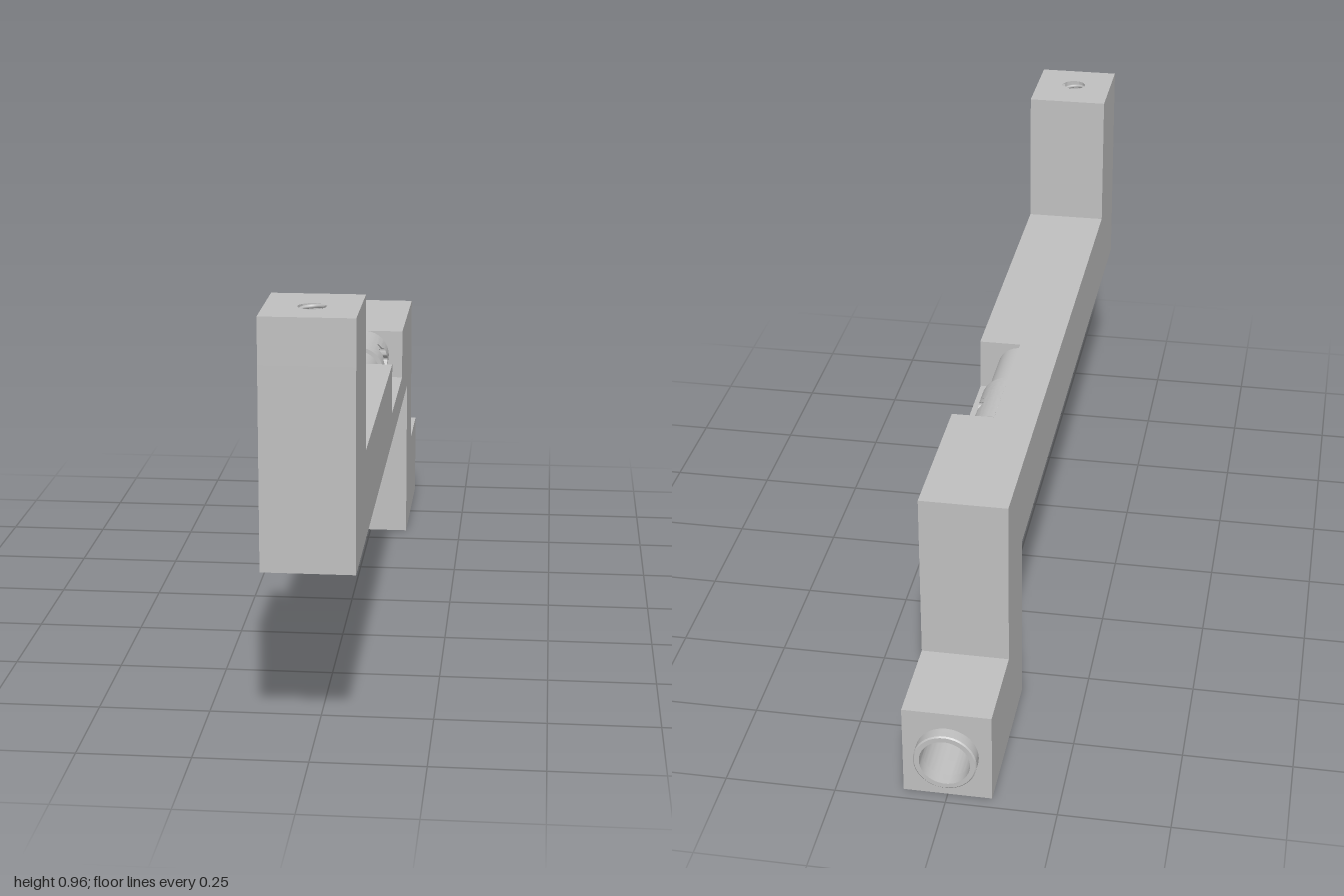
import * as THREE from 'three';
import { toCreasedNormals } from 'three/addons/utils/BufferGeometryUtils.js';

const metal = new THREE.MeshStandardMaterial({ color: 0xc0c0c0 });
metal.name = 'plain grey metal';

function add(group, name, geometry, x = 0, y = 0, z = 0) {
  const mesh = new THREE.Mesh(geometry, metal);
  mesh.name = name;
  mesh.position.set(x, y, z);
  group.add(mesh);
  return mesh;
}

// Side profile given as [z, y], extruded along +x
function sideExtrude(points, depth) {
  const shape = new THREE.Shape(points.map(([z, y]) => new THREE.Vector2(-z, y)));
  return new THREE.ExtrudeGeometry(shape, { depth, bevelEnabled: false }).rotateY(Math.PI / 2);
}

// Rectangular block with a round bore, extruded along +z
function boredBlock(w, h, cx, cy, r, depth) {
  const shape = new THREE.Shape([[-w, -h], [w, -h], [w, h], [-w, h]]
    .map(([x, y]) => new THREE.Vector2(x / 2, y / 2)));
  const hole = new THREE.Path();
  hole.absarc(cx, cy, r, 0, Math.PI * 2, true);
  shape.holes.push(hole);
  const geometry = new THREE.ExtrudeGeometry(shape, { depth, bevelEnabled: false, curveSegments: 40 });
  return toCreasedNormals(geometry, 0.6);
}

// Half-round sleeve skin with a fluted socket that opens towards +x
function socketSkin(R, halfLength, floorX) {
  const N = 108, rings = 14, pos = [], index = [];
  for (let k = 0; k < rings; k++) {
    for (let j = 0; j <= N; j++) {
      const t = (j / N) * Math.PI * 2, c = Math.cos(t), s = Math.sin(t);
      const r = 0.045 + 0.005 * Math.cos(9 * t);
      if (k === 0) pos.push(floorX, 0, 0);
      else if (k === 1) pos.push(floorX, r * s, -r * c);
      else {
        // blend from the socket lip to the edge of the sleeve
        const f = (k - 2) / (rings - 3), m = Math.max(Math.abs(c), Math.abs(s));
        const u = THREE.MathUtils.lerp(r * c, halfLength * c / m, f);
        const a = THREE.MathUtils.lerp(Math.asin(r * s / R), Math.PI / 2 * s / m, f);
        pos.push(R * Math.cos(a), R * Math.sin(a), -u);
      }
    }
  }
  for (let k = 0; k < rings - 1; k++) {
    for (let j = 0; j < N; j++) {
      const a = k * (N + 1) + j, b = a + N + 1;
      if (k > 0) index.push(a, b, a + 1);
      index.push(b, b + 1, a + 1);
      if (k === 0) index.splice(-3, 3, a, b, b + 1);
    }
  }
  const geometry = new THREE.BufferGeometry();
  geometry.setAttribute('position', new THREE.Float32BufferAttribute(pos, 3));
  geometry.setIndex(index);
  return toCreasedNormals(geometry, 0.6);
}

export function createModel() {
  const model = new THREE.Group();
  model.name = 'crankedArm';

  // Cranked body: a full left half and a right half with the pocket cut out
  const outline = [[1, 0.42], [-0.57, 0.42], [-0.57, 0], [-0.85, 0], [-0.85, 0.22],
    [-0.75, 0.22], [-0.75, 0.62]];
  const post = [[0.77, 0.62], [0.77, 0.86], [1, 0.86]];
  const pocket = [[-0.365, 0.62], [-0.365, 0.495], [0, 0.495], [0, 0.62]];
  add(model, 'bodyLeftHalf', sideExtrude([...outline, ...post], 0.1), -0.1);
  add(model, 'bodyRightHalf', sideExtrude([...outline, ...pocket, ...post], 0.1));

  // Top of the post with its threaded hole
  add(model, 'postTop', boredBlock(0.2, 0.23, 0, -0.01, 0.03, 0.1).rotateX(-Math.PI / 2), 0, 0.86, 0.885);
  const helix = [];
  for (let i = 0; i <= 120; i++) {
    const t = (i / 120) * Math.PI * 12;
    helix.push(new THREE.Vector3(0.028 * Math.cos(t), 0.865 + 0.093 * i / 120, 0.895 + 0.028 * Math.sin(t)));
  }
  add(model, 'screwThread', new THREE.TubeGeometry(new THREE.CatmullRomCurve3(helix), 240, 0.0045, 6));

  // Back of the foot with its bore and raised collar
  add(model, 'footEnd', boredBlock(0.2, 0.22, 0, 0, 0.057, 0.12), 0, 0.11, -0.97);
  const collar = [[0.071, 0], [0.071, 0.027], [0.068, 0.03], [0.057, 0.03], [0.057, 0]]
    .map(([x, y]) => new THREE.Vector2(x, y));
  add(model, 'boreCollar', toCreasedNormals(new THREE.LatheGeometry(collar, 48).rotateX(-Math.PI / 2), 0.6),
    0, 0.11, -0.97);

  // Pin and fluted socket lying in the pocket
  add(model, 'pin', new THREE.CylinderGeometry(0.055, 0.055, 0.175, 48).rotateX(Math.PI / 2), 0, 0.555, -0.0875);
  const R = 0.0645, y = 0.556, front = -0.173, back = -0.362, half = (front - back) / 2;
  add(model, 'socketSleeve', socketSkin(R, half, 0.012), 0, y, (front + back) / 2);
  add(model, 'sleeveFrontEnd', new THREE.CircleGeometry(R, 32, -Math.PI / 2, Math.PI), 0, y, front);
  add(model, 'sleeveBackEnd', new THREE.CircleGeometry(R, 32, Math.PI / 2, Math.PI).rotateY(Math.PI), 0, y, back);

  return model;
}
